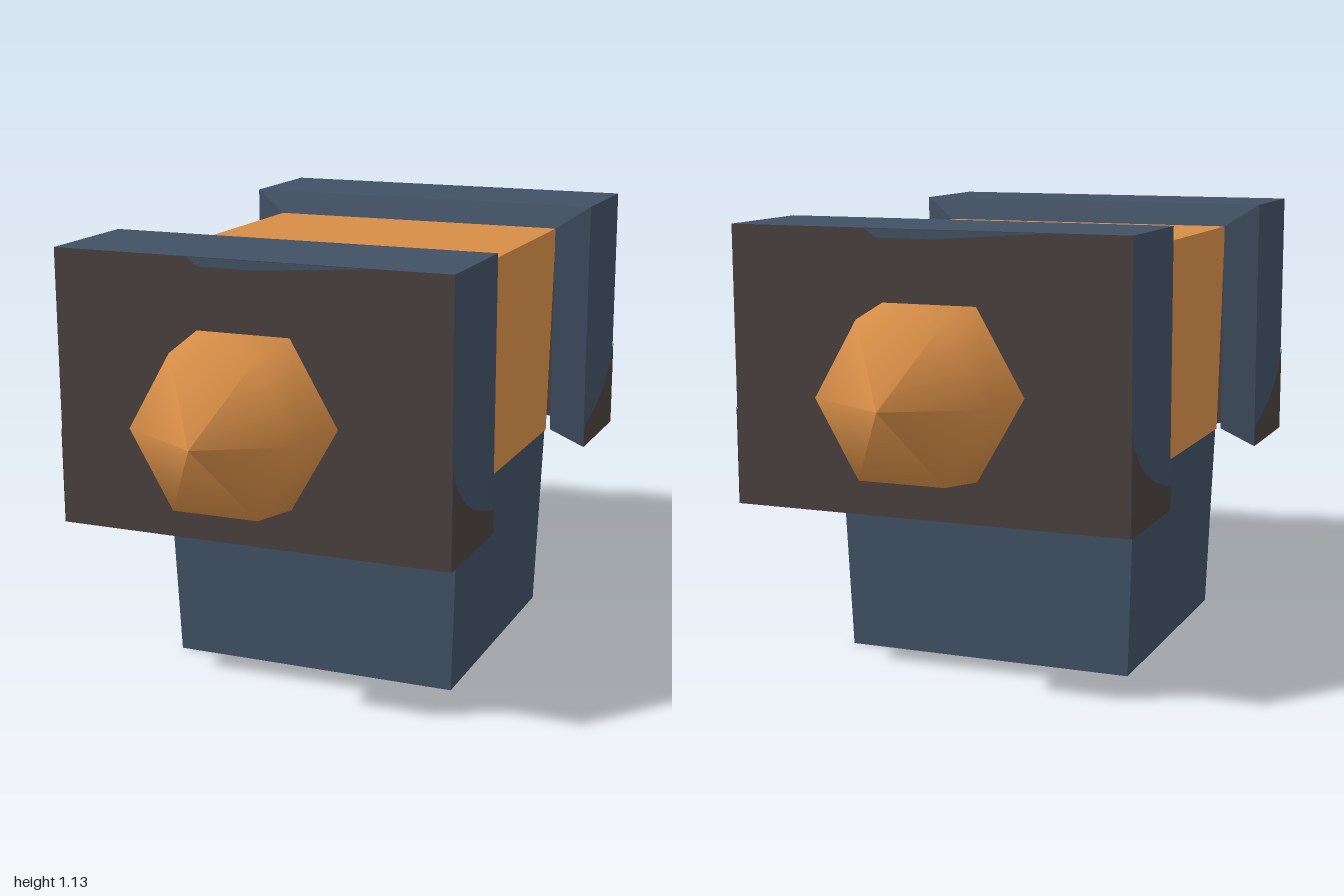
import * as THREE from 'three';

const mat = (name, color) => {
  const m = new THREE.MeshStandardMaterial({ color, side: THREE.DoubleSide });
  m.name = name;
  return m;
};

// Flat-sided panels from lists of four corners, counter-clockwise from outside
function panels(quads) {
  const pos = [];
  for (const [a, b, c, d] of quads) pos.push(...a, ...b, ...c, ...a, ...c, ...d);
  const g = new THREE.BufferGeometry();
  g.setAttribute('position', new THREE.Float32BufferAttribute(pos, 3));
  g.computeVertexNormals();
  return g;
}

// Walls of a tapered block, with optional top and bottom
function taperedBlock(y0, x0, z0, y1, x1, z1, capped) {
  const ring = (x, y, z) => [[x, y, z], [x, y, -z], [-x, y, -z], [-x, y, z]];
  const lo = ring(x0, y0, z0), hi = ring(x1, y1, z1);
  const quads = lo.map((p, i) => [p, lo[(i + 1) % 4], hi[(i + 1) % 4], hi[i]]);
  if (capped) quads.push(hi, [...lo].reverse());
  return panels(quads);
}

export function createModel() {
  const model = new THREE.Group();
  const orange = mat('orange', 0xd68d47);
  const blue = mat('slate blue', 0x405063);
  const brown = mat('dark brown', 0x483f3e);
  const add = (parent, name, geometry, material) => {
    const m = new THREE.Mesh(geometry, material);
    m.name = name;
    parent.add(m);
    return m;
  };

  // Hollow base and solid middle block
  add(model, 'base', taperedBlock(0, 0.38, 0.36, 0.5, 0.397, 0.375, false), blue);
  add(model, 'body', taperedBlock(0.5, 0.4, 0.378, 1.07, 0.41, 0.39, true), orange);

  // Rectangular rim outline: bottom right, top right, top left, bottom left
  const rim = (x, y0, y1, z) => [[x, y0, z], [x, y1, z], [-x, y1, z], [-x, y0, z]];

  for (const s of [1, -1]) {
    const end = new THREE.Group();
    end.name = s > 0 ? 'frontEnd' : 'backEnd';
    if (s < 0) end.rotation.y = Math.PI;
    model.add(end);

    // Collar: sides, top and inner bevel, open underneath
    const face = rim(0.5, 0.45, 1.13, 0.72);
    const back = rim(0.5, 0.45, 1.13, 0.415);
    const neck = rim(0.41, 0.5, 1.07, 0.385);
    const shell = [];
    for (let i = 0; i < 3; i++) {
      shell.push([face[i], back[i], back[i + 1], face[i + 1]]);
      shell.push([back[i], neck[i], neck[i + 1], back[i + 1]]);
    }
    add(end, 'collar', panels(shell), blue);
    add(end, 'endPlate', panels([face]), brown);

    // Curved dark corners on both collar sides
    const corner = new THREE.Shape();
    corner.moveTo(0.72, 0.45);
    corner.lineTo(0.72, 0.69);
    corner.quadraticCurveTo(0.67, 0.56, 0.415, 0.51);
    corner.lineTo(0.415, 0.45);
    for (const side of [1, -1]) {
      const c = add(end, 'collarCorner', new THREE.ShapeGeometry(corner, 8), brown);
      c.rotation.y = -Math.PI / 2;
      c.position.x = side * 0.502;
    }

    // Small blue patch at the top of the end plate
    const patch = new THREE.Shape();
    patch.moveTo(-0.15, 1.129);
    patch.lineTo(-0.12, 1.108);
    patch.lineTo(0.02, 1.108);
    patch.lineTo(0.3, 1.129);
    add(end, 'plateTrim', new THREE.ShapeGeometry(patch), blue).position.z = 0.722;

    // Six-sided rounded knob
    const profile = [[0.245, 0.6], [0.235, 0.72], [0.212, 0.88], [0, 1]]
      .map(([r, h]) => new THREE.Vector2(r, h));
    const knob = add(end, 'knob', new THREE.LatheGeometry(profile, 6, Math.PI / 2), orange);
    knob.rotation.x = Math.PI / 2;
    knob.position.set(-0.01 * s, 0.755, 0);
  }
  return model;
}
